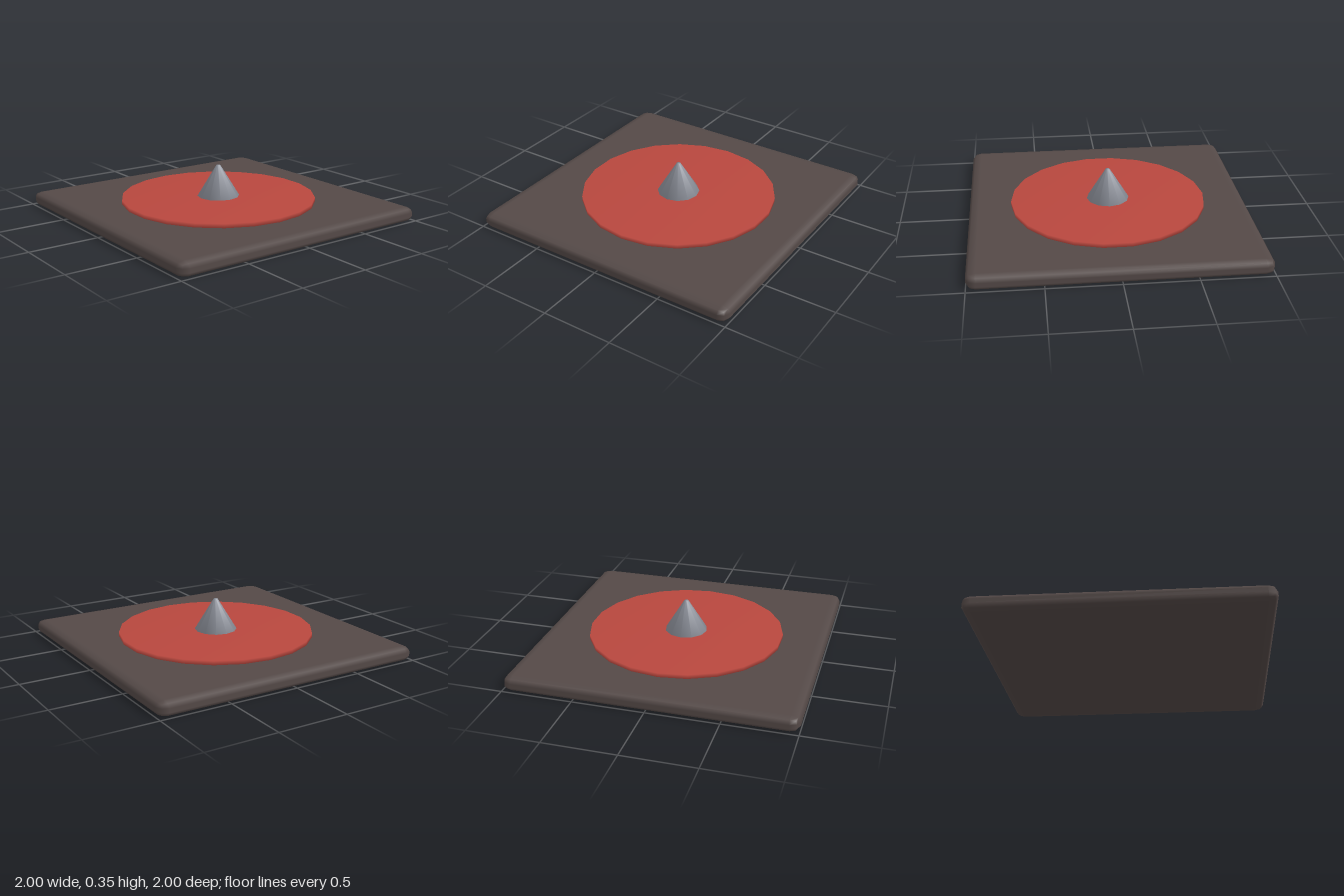
import * as THREE from 'three';
import { RoundedBoxGeometry } from 'three/addons/geometries/RoundedBoxGeometry.js';

function addPart(group, name, geometry, color) {
  const mesh = new THREE.Mesh(geometry, new THREE.MeshStandardMaterial({ color }));
  mesh.name = name;
  group.add(mesh);
  return mesh;
}

// Closed solid of revolution from [radius, height] pairs, bottom to top
function turned(points, sides) {
  return new THREE.LatheGeometry(points.map(([r, y]) => new THREE.Vector2(r, y)), sides);
}

export function createModel() {
  const model = new THREE.Group();
  model.name = 'plateWithSpike';

  // Square base slab, bevel squashed vertically
  const squash = 0.55;
  const slab = new RoundedBoxGeometry(2, 0.1 / squash, 2, 1, 0.065);
  slab.scale(1, squash, 1);
  slab.translate(0, 0.05, 0);
  addPart(model, 'baseSlab', slab, 0x544947);

  // Thin round plate, softly shaded across its rim
  addPart(model, 'roundPlate', turned([[0, 0.09], [0.7, 0.09], [0.7, 0.13], [0, 0.13]], 22), 0xb8473e);

  // Blunt central spike
  addPart(model, 'spike', turned([[0, 0.125], [0.155, 0.125], [0.015, 0.355], [0, 0.355]], 12), 0x9296a0);

  return model;
}
